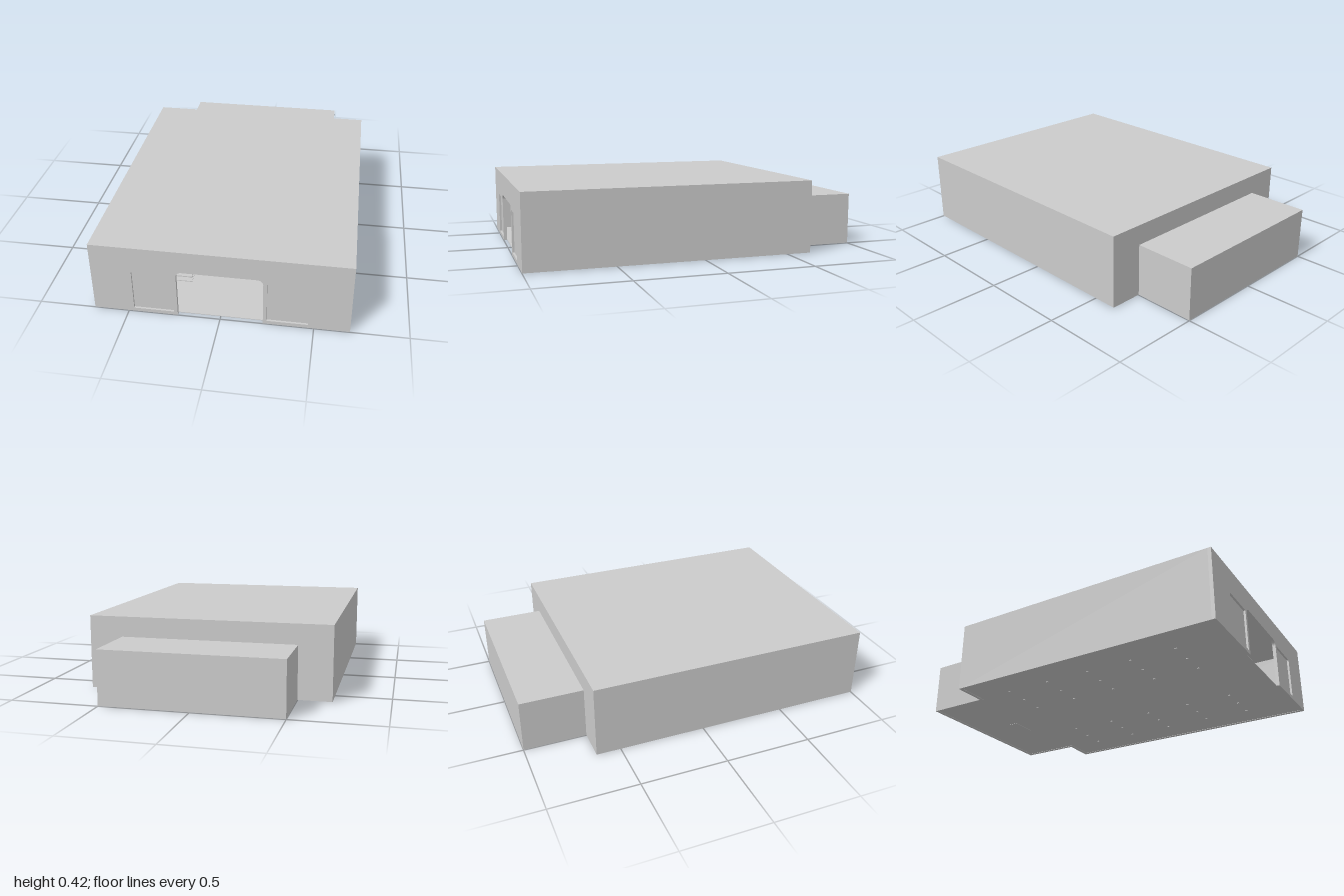
import * as THREE from 'three';

export function createModel() {
  const model = new THREE.Group();
  const mat = new THREE.MeshStandardMaterial({ color: 0xcccccc, side: THREE.DoubleSide });
  const W = 0.69, T = 0.02, H = 0.42, Y0 = 0.002;   // half width, wall thickness, heights
  const AX = 0.5, AH = 0.305, AZ = -0.64;           // rear annex half width, height, join

  function add(name, geo, x = 0, y = 0, z = 0, parent = model) {
    const mesh = new THREE.Mesh(geo, mat);
    mesh.name = name;
    mesh.position.set(x, y, z);
    parent.add(mesh);
    return mesh;
  }
  // box given by its limits on each axis
  function box(name, x0, x1, y0, y1, z0, z1, parent) {
    return add(name, new THREE.BoxGeometry(x1 - x0, y1 - y0, z1 - z0),
      (x0 + x1) / 2, (y0 + y1) / 2, (z0 + z1) / 2, parent);
  }
  function rect(path, x0, x1, y0, y1) {
    path.moveTo(x0, y0);
    path.lineTo(x0, y1);
    path.lineTo(x1, y1);
    path.lineTo(x1, y0);
    path.closePath();
    return path;
  }

  // front wall: round-cornered doorway cut from the bottom, two window holes
  const front = new THREE.Shape();
  const d = 0.23, dt = 0.29, r = 0.03;
  front.moveTo(-W, Y0);
  front.lineTo(-d, Y0);
  front.lineTo(-d, dt - r);
  front.absarc(-d + r, dt - r, r, Math.PI, Math.PI / 2, true);
  front.lineTo(d - r, dt);
  front.absarc(d - r, dt - r, r, Math.PI / 2, 0, true);
  front.lineTo(d, Y0);
  front.lineTo(W, Y0);
  front.lineTo(W, H);
  front.lineTo(-W, H);
  front.closePath();
  for (const s of [-1, 1]) {
    front.holes.push(rect(new THREE.Path(), s * 0.25, s * 0.47, 0.022, 0.265));
    box('windowPane', s * 0.36 - 0.11, s * 0.36 + 0.11, 0.022, 0.265, 0.981, 0.988);
  }
  add('frontWall', new THREE.ExtrudeGeometry(front, { depth: T, bevelEnabled: false, curveSegments: 8 }), 0, 0, 1 - T);

  // side walls, shoulders beside the annex, annex walls
  for (const s of [-1, 1]) {
    const side = (name, a, b, h, z0, z1) =>
      box(name, Math.min(s * a, s * b), Math.max(s * a, s * b), Y0, h, z0, z1);
    side('sideWall', W - T, W, H, AZ, 1 - T);
    side('rearShoulderWall', AX - T, W - T, H, AZ, AZ + T);
    side('annexSideWall', AX - T, AX, AH, -1, AZ);
  }
  box('annexBackWall', -AX + T, AX - T, Y0, AH, -1, -1 + T);
  box('rearLintel', -AX + T, AX - T, AH - T, H, AZ, AZ + T);
  box('roof', -W + T, W - T, H - T, H, AZ + T, 1 - T);
  box('annexRoof', -AX + T, AX - T, AH - T, AH, -1 + T, AZ);

  // thin floor set just inside the walls
  box('floor', -W + T, W - T, 0.004, 0.007, AZ + T, 1 - T);
  box('annexFloor', -AX + T, AX - T, 0.004, 0.007, -1 + T, AZ + T);

  // double-sided shelf units: five rows on each side of the aisle
  for (const s of [-1, 1]) {
    for (let i = 0; i < 5; i++) {
      const unit = new THREE.Group();
      unit.name = 'shelfUnit';
      unit.position.set(s * 0.36, 0, -0.41 + i * 0.275);
      model.add(unit);
      box('shelfBackPanel', -0.145, 0.145, 0.01, 0.15, -0.003, 0.003, unit);
      for (let k = 0; k < 5; k++) {
        const y = 0.008 + k * 0.033;
        box('shelfBoard', -0.15, 0.15, y, y + 0.005, -0.035, 0.035, unit);
      }
      for (const x of [-0.14, 0, 0.14]) {
        box('shelfPost', x - 0.005, x + 0.005, 0, 0.15, -0.006, 0.006, unit);
      }
    }
  }

  // rear counter, wall cabinets with long handles
  box('rearCounter', -AX + T, AX - T, 0.007, 0.08, -0.98, -0.9);
  box('wallCabinet', -AX + T, AX - T, 0.185, AH - T, -0.98, -0.9);
  for (const x of [-0.16, -0.028, 0.104]) {
    box('cabinetHandle', x - 0.003, x + 0.003, 0.188, 0.262, -0.9, -0.892);
  }

  // service desk and bin
  box('deskTop', -0.07, 0.08, 0.05, 0.08, -0.75, -0.68);
  box('deskBase', -0.07, 0.08, 0.002, 0.05, -0.745, -0.69);
  add('bin', new THREE.CylinderGeometry(0.02, 0.02, 0.088, 20), 0.165, 0.051, -0.7);
  return model;
}
